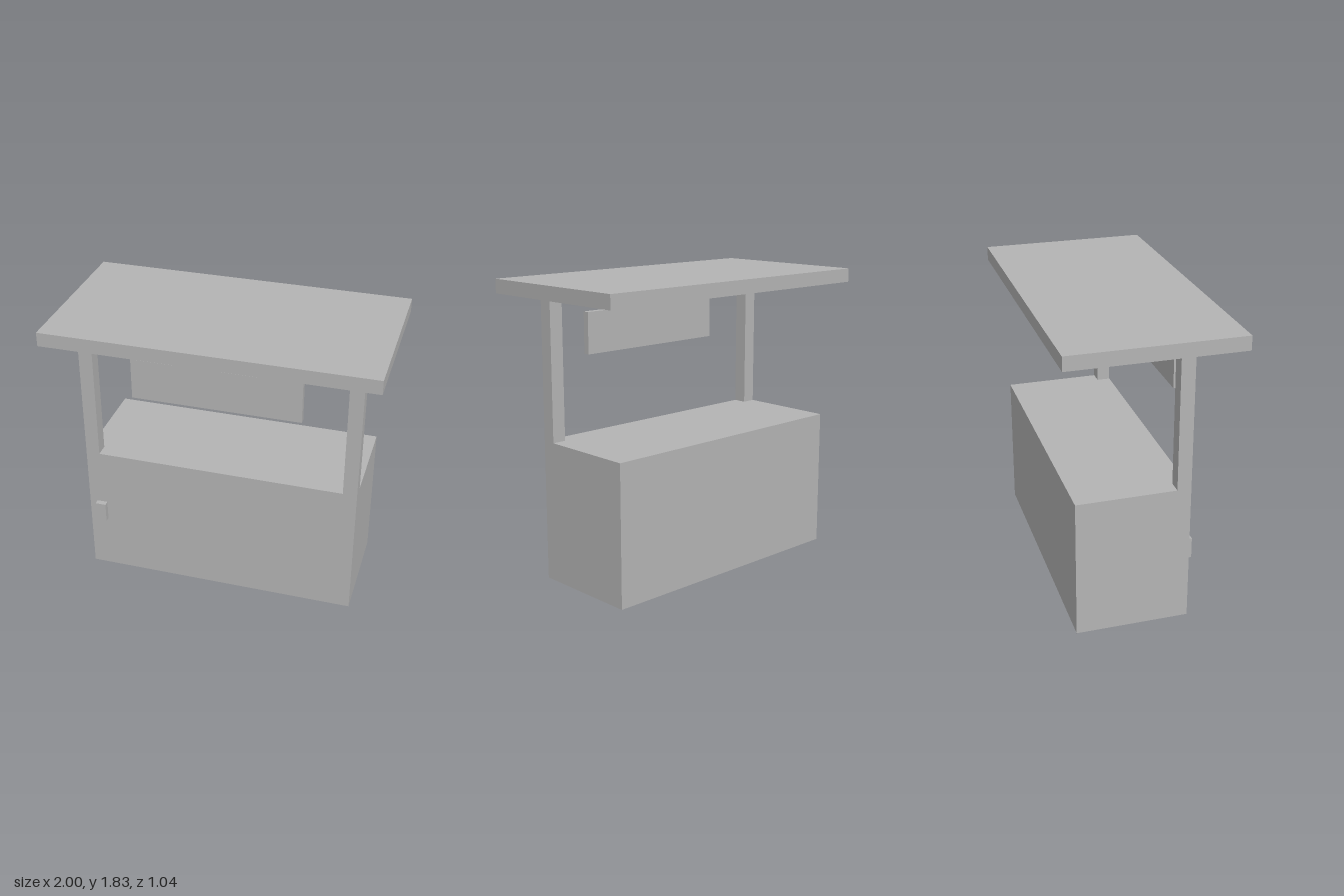
import * as THREE from 'three';

export function createModel() {
  const group = new THREE.Group();
  const grey = new THREE.MeshStandardMaterial({ color: 0xb4b4b4 });
  grey.name = 'plain grey';

  // Adds a box spanning the given [min, max] range on each axis
  function addBox(name, [x0, x1], [y0, y1], [z0, z1]) {
    const mesh = new THREE.Mesh(new THREE.BoxGeometry(x1 - x0, y1 - y0, z1 - z0), grey);
    mesh.position.set((x0 + x1) / 2, (y0 + y1) / 2, (z0 + z1) / 2);
    mesh.name = name;
    group.add(mesh);
  }

  // Solid counter
  addBox('counter', [-0.87, 0.87], [0, 0.87], [-0.43, 0.26]);

  // Front posts, flush with the counter's front and ends
  addBox('leftPost', [0.783, 0.87], [0.87, 1.74], [0.175, 0.26]);
  addBox('rightPost', [-0.87, -0.783], [0.87, 1.74], [0.175, 0.26]);

  // Flat overhanging roof
  addBox('roof', [-1, 1], [1.74, 1.826], [-0.522, 0.522]);

  // Sign board hanging between the posts
  addBox('signBoard', [-0.522, 0.522], [1.35, 1.61], [0.26, 0.3]);

  // Small box on the counter front
  addBox('switchBox', [-0.82, -0.753], [0.37, 0.5], [0.26, 0.295]);

  return group;
}
